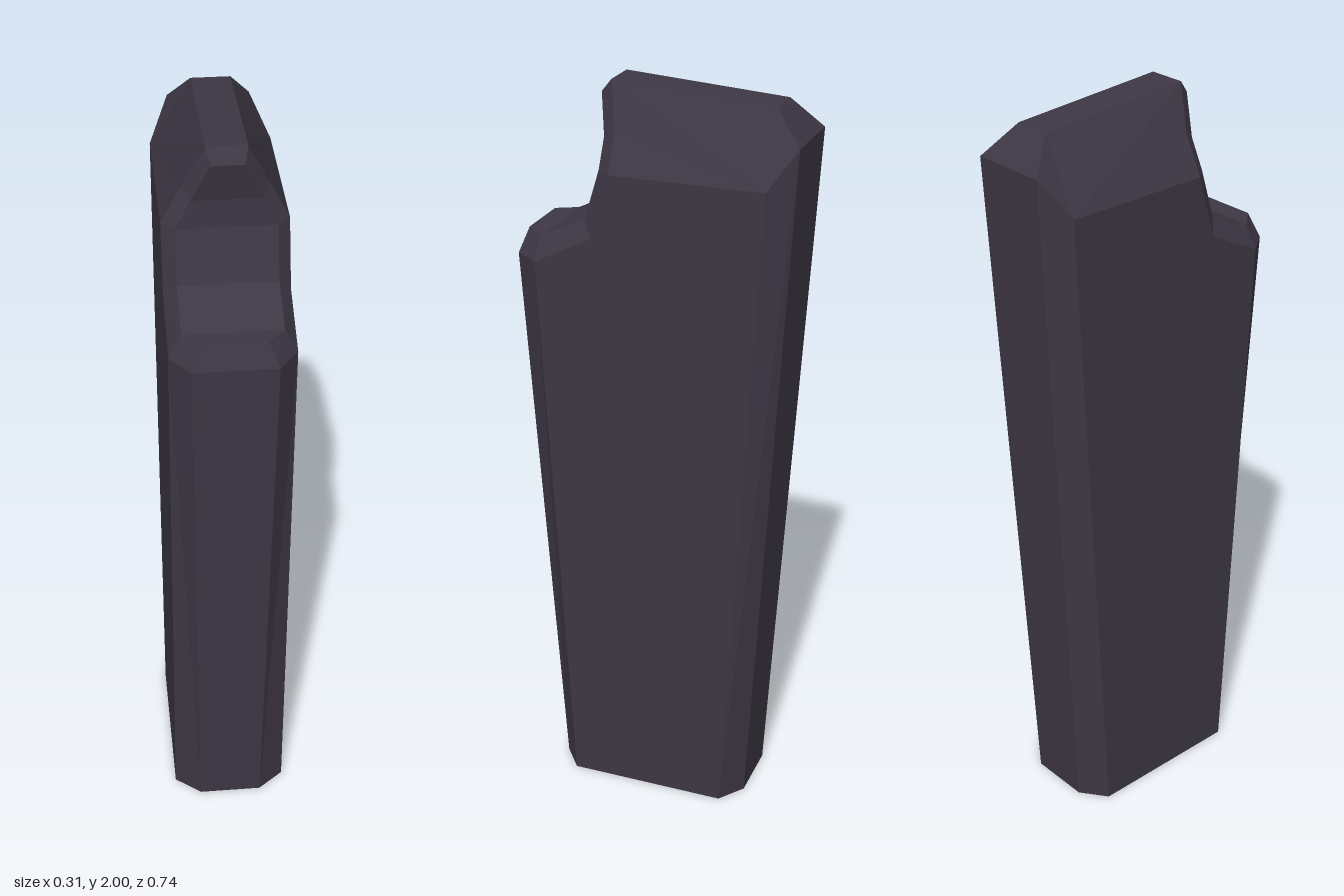
import * as THREE from 'three';

// Outline stations in order: front foot, up the front, through the notch, over the top, down the back.
// rim = point on the narrow centre band, side = point on the wide flank; each is [halfWidth, y, z].
const STATIONS = [
  { rim: [0.085, 0, 0.28], side: [0.155, 0, 0.225] },
  { rim: [0.105, 1.54, 0.372], side: [0.155, 1.54, 0.305] },
  { rim: [0.08, 1.605, 0.35], side: [0.155, 1.54, 0.305] },
  { rim: [0.123, 1.6, 0.3], side: [0.155, 1.54, 0.305] },
  { rim: [0.123, 1.66, 0.177], side: [0.155, 1.62, 0.15] },
  { rim: [0.123, 1.79, 0.137], side: [0.155, 1.79, 0.1] },
  { rim: [0.085, 1.865, 0.137], side: [0.105, 1.885, 0.1] },
  { rim: [0.04, 1.965, 0.16], side: [0.05, 2, 0.13] },
  { rim: [0.05, 2, 0.13], side: [0.05, 2, 0.13] },
  { rim: [0.05, 1.97, -0.297], side: [0.155, 1.79, -0.305] },
  { rim: [0.105, 1.89, -0.372], side: [0.155, 1.79, -0.305] },
  { rim: [0.085, 0, -0.262], side: [0.155, 0, -0.21] },
];

const mirror = ([x, y, z]) => [-x, y, z];

function gripGeometry() {
  const positions = [];
  const tri = (a, b, c) => {
    if (a.join() === b.join() || b.join() === c.join() || a.join() === c.join()) return;
    positions.push(...a, ...b, ...c);
  };
  // Fan of triangles on the left half plus its mirror image
  const fan = (points) => {
    for (let i = 1; i < points.length - 1; i++) {
      const [a, b, c] = [points[0], points[i], points[i + 1]];
      tri(a, c, b);
      tri(mirror(a), mirror(b), mirror(c));
    }
  };

  STATIONS.forEach(({ rim, side }, i) => {
    const next = STATIONS[(i + 1) % STATIONS.length];
    // Centre band
    tri(rim, next.rim, mirror(next.rim));
    tri(rim, mirror(next.rim), mirror(rim));
    // Bevel between band and flank
    fan([rim, next.rim, next.side, side]);
  });

  const sides = (...ids) => ids.map((i) => STATIONS[i].side);
  fan(sides(11, 0, 1, 4, 5, 10)); // flat flanks
  fan(sides(10, 5, 6, 8)); // sloping shoulders

  const geometry = new THREE.BufferGeometry();
  geometry.setAttribute('position', new THREE.Float32BufferAttribute(positions, 3));
  geometry.computeVertexNormals();
  return geometry;
}

export function createModel() {
  const group = new THREE.Group();
  group.name = 'grip';
  const material = new THREE.MeshStandardMaterial({ color: 0x3d3744, flatShading: true });
  const body = new THREE.Mesh(gripGeometry(), material);
  body.name = 'gripBody';
  group.add(body);
  return group;
}
